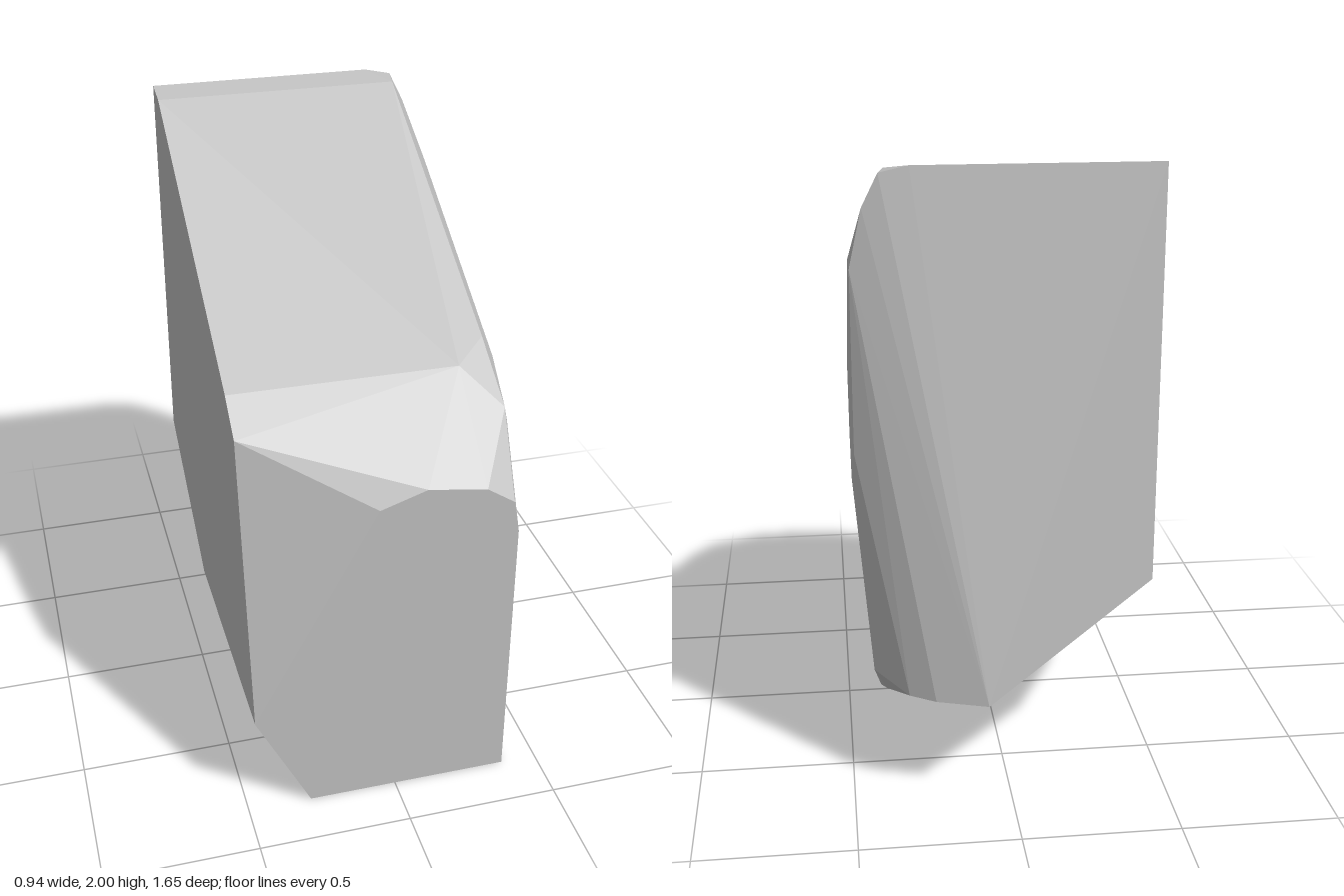
import * as THREE from 'three';
import { ConvexGeometry } from 'three/addons/geometries/ConvexGeometry.js';

// Corner points of each side of the boulder, as [x, y, z]
const flatSide = [
  [-0.47, 2, -0.61], [-0.47, 0.67, -0.61], [-0.47, 0.35, -0.04], [-0.47, 0.36, 0.83],
  [-0.47, 1.3, 0.65], [-0.47, 1.39, 0.53], [-0.47, 1.98, -0.51],
];
const base = [
  [-0.29, 0, 0.83], [-0.29, 0, 0.54], [-0.05, 0, -0.05], [0.12, 0, -0.11],
  [0.3, 0, -0.05], [0.38, 0, 0.13], [0.38, 0, 0.83],
];
const frontRim = [
  [-0.07, 1.1, 0.83], [0.08, 1.15, 0.83], [0.27, 1.12, 0.83], [0.36, 1.06, 0.83], [0.38, 0.95, 0.83],
];
const topRim = [
  [0.27, 1.39, 0.53], [0.38, 1.43, 0.43], [0.39, 1.28, 0.63], [0.36, 1.98, -0.51],
  [0.29, 2, -0.61], [0.38, 1.98, -0.61], [0.43, 1.88, -0.61],
];
const bulgedSide = [
  [0.455, 1.15, 0.5], [0.46, 1.3, 0.33], [0.468, 1.15, 0.33], [0.47, 0.95, 0.13], [0.467, 0.78, 0.13],
  [0.47, 1.7, -0.45], [0.47, 1.7, -0.61], [0.47, 1.13, -0.61], [0.425, 0.4, -0.61],
];
const backKeel = [
  [0.08, 0.36, -0.82], [0.24, 0.36, -0.77], [0.32, 0.36, -0.72], [0.385, 0.3, -0.55], [0.39, 0.11, -0.17],
];

export function createModel() {
  const stone = new THREE.MeshStandardMaterial({ color: 0xc0c0c0 });
  stone.name = 'stone grey';

  // One faceted boulder, wrapped around all its corners
  const points = [flatSide, base, frontRim, topRim, bulgedSide, backKeel]
    .flat()
    .map((p) => new THREE.Vector3(...p));
  const boulder = new THREE.Mesh(new ConvexGeometry(points), stone);
  boulder.name = 'boulder';

  const model = new THREE.Group();
  model.name = 'rock';
  model.add(boulder);
  return model;
}
